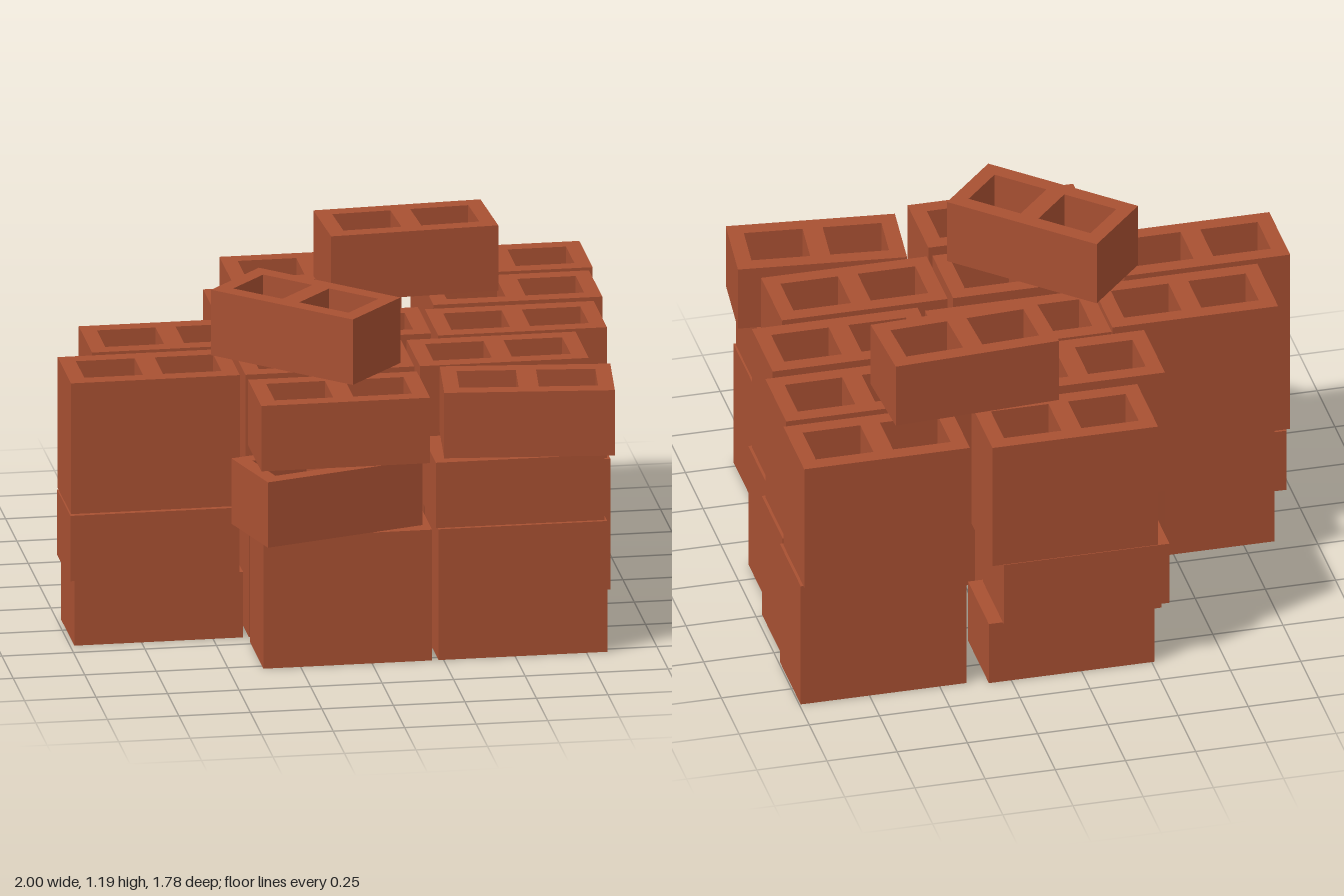
import * as THREE from 'three';

const L = 0.59, W = 0.295, H = 0.2376;   // block length, width, height
const WALL = 0.055, MID = 0.07;

const rect = (Path, x0, z0, x1, z1) => {
  const p = new Path();
  p.moveTo(x0, z0).lineTo(x1, z0).lineTo(x1, z1).lineTo(x0, z1).closePath();
  return p;
};

// Two-cell hollow block, standing on y = 0, a number of courses high
function blockGeometry(courses) {
  const s = rect(THREE.Shape, -L / 2, -W / 2, L / 2, W / 2);
  const zi = W / 2 - WALL;
  s.holes.push(rect(THREE.Path, -L / 2 + WALL, -zi, -MID / 2, zi));
  s.holes.push(rect(THREE.Path, MID / 2, -zi, L / 2 - WALL, zi));
  const g = new THREE.ExtrudeGeometry(s, { depth: H * courses, bevelEnabled: false });
  return g.rotateX(-Math.PI / 2);
}

export function createModel() {
  const group = new THREE.Group();
  const clay = new THREE.MeshStandardMaterial({ color: 0xa85032 });
  clay.name = 'redClay';
  const single = blockGeometry(1), double = blockGeometry(2);

  const add = (name, x, z, level, courses = 1, rot = 0) => {
    const m = new THREE.Mesh(courses === 2 ? double : single, clay);
    m.name = name;
    m.position.set(x, level * H, z);
    m.rotation.y = rot;
    group.add(m);
  };

  // Regular stacks: lower pair sits slightly off the upper pair
  const upper = [
    [0.025, -0.742], [0.69, -0.722],
    [-0.087, -0.395], [0.672, -0.395],
    [-0.575, -0.058], [0.025, -0.085], [0.635, -0.058],
    [-0.70, 0.268], [-0.09, 0.268], [0.52, 0.268],
  ];
  const splitLower = new Set([0, 2, 7]);
  upper.forEach(([x, z], i) => {
    add('upperBlock', x, z, 2, 2);
    if (!splitLower.has(i)) add('lowerBlock', x + 0.01, z + 0.01, 0, 2);
    else add('baseBlock', x + 0.01, z + 0.01, 0);
  });

  // Shifted second-course blocks
  add('shiftedBlock', -0.015, -0.745, 1);
  add('shiftedBlock', -0.087, -0.388, 1, 1, 0.02);
  add('shiftedBlock', -0.705, 0.287, 1);

  // Front row, with two skewed blocks
  for (const x of [-0.085, 0.527]) add('frontLowerBlock', x, 0.632, 0, 2);
  add('skewedBlock', -0.14, 0.665, 2, 1, 0.285);
  add('frontUpperBlock', -0.09, 0.618, 3);
  add('frontUpperBlock', 0.52, 0.618, 2);
  add('skewedBlock', 0.57, 0.605, 3, 1, -0.104);

  // Loose blocks on top
  add('looseBlock', 0.32, -0.5, 4, 1, 0.053);
  add('looseBlock', -0.152, 0.275, 4, 1, -0.75);

  return group;
}
